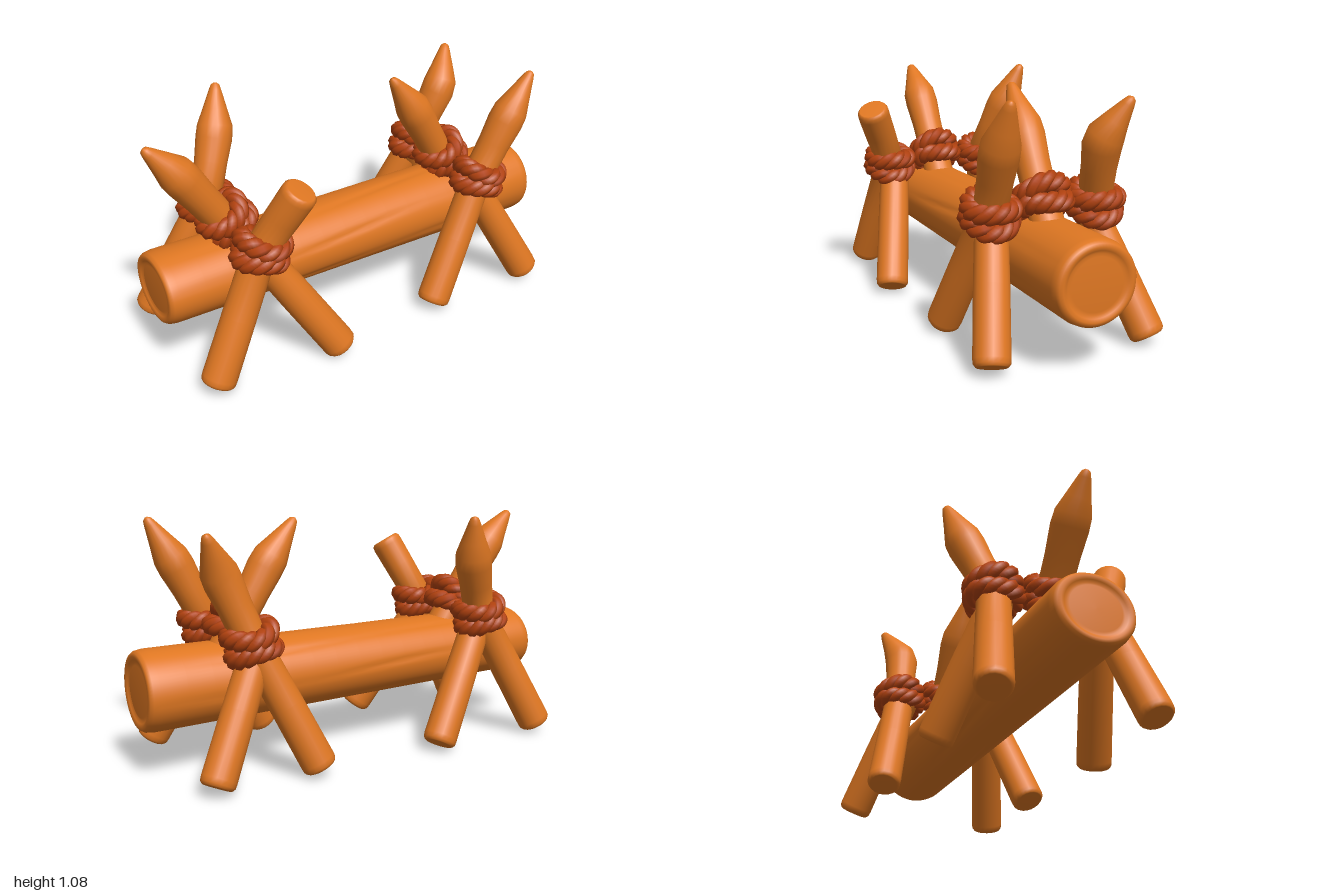
import * as THREE from 'three';
import { mergeVertices } from 'three/addons/utils/BufferGeometryUtils.js';

const V = (a) => new THREE.Vector3(...a);

// Round bar through stations [x, y, z, radius], closed at both ends
function sweep(stations, sides = 20) {
  const pts = stations.map((s) => V(s));
  const pos = [], idx = [], n = stations.length;
  stations.forEach((s, i) => {
    const t = pts[Math.min(i + 1, n - 1)].clone().sub(pts[Math.max(i - 1, 0)]).normalize();
    const u = new THREE.Vector3(0, 0, 1).cross(t).normalize();
    const v = t.clone().cross(u);
    for (let j = 0; j < sides; j++) {
      const a = (j / sides) * Math.PI * 2;
      const p = pts[i].clone().addScaledVector(u, Math.cos(a) * s[3]).addScaledVector(v, Math.sin(a) * s[3]);
      pos.push(p.x, p.y, p.z);
    }
  });
  for (let i = 0; i < n - 1; i++) {
    for (let j = 0; j < sides; j++) {
      const k = (j + 1) % sides;
      const a = i * sides + j, b = i * sides + k;
      idx.push(a, b, b + sides, a, b + sides, a + sides);
    }
  }
  const c0 = n * sides, c1 = c0 + 1;
  pos.push(...pts[0].toArray(), ...pts[n - 1].toArray());
  for (let j = 0; j < sides; j++) {
    const k = (j + 1) % sides;
    idx.push(c0, k, j, c1, (n - 1) * sides + j, (n - 1) * sides + k);
  }
  const g = new THREE.BufferGeometry();
  g.setAttribute('position', new THREE.Float32BufferAttribute(pos, 3));
  g.setIndex(idx);
  g.computeVertexNormals();
  return g;
}

const mix = (a, b, t) => a.map((x, i) => x + (b[i] - x) * t);
const towards = (a, b, d) => mix(a, b, d / V(a).distanceTo(V(b)));

// Sawn end with a small rounded edge, listed from the cap inwards
const sawn = (end, next, r) => [
  [...end, r * 0.8], [...towards(end, next, 0.003), r * 0.87],
  [...towards(end, next, 0.014), r * 0.98], [...towards(end, next, 0.035), r],
];

// Stake: foot, waist inside the lashing, shoulder, and either a whittled tip or a blunt end
function stakeGeometry({ foot, waist, shoulder, tip }) {
  const low = sawn(foot, waist, 0.077);
  const body = [[...mix(foot, waist, 0.5), 0.075], [...waist, 0.072], [...mix(waist, shoulder, 0.55), 0.075]];
  if (!tip) return sweep([...low, ...body, ...sawn(shoulder, waist, 0.077).reverse()]);
  return sweep([
    ...low, ...body,
    [...mix(waist, shoulder, 0.9), 0.083],
    [...mix(shoulder, tip, 0.12), 0.08],
    [...mix(shoulder, tip, 0.45), 0.056],
    [...mix(shoulder, tip, 0.85), 0.028],
    [...mix(shoulder, tip, 0.96), 0.019],
    [...tip, 0.006],
  ]);
}

// One strand of a twisted rope running around a tilted loop
class Strand extends THREE.Curve {
  constructor(centre, axis, radius, lift, phase) {
    super();
    Object.assign(this, { centre, axis, radius, lift, phase });
    this.u = new THREE.Vector3(0, 0, 1).cross(axis).normalize();
    this.v = axis.clone().cross(this.u);
  }
  getPoint(t, target = new THREE.Vector3()) {
    const a = t * Math.PI * 2, w = a * 4 + this.phase;
    const r = this.radius + Math.cos(w) * 0.02;
    const h = this.lift + Math.sin(a * 2 + this.lift * 40) * 0.01 + Math.sin(w) * 0.022;
    return target.copy(this.centre)
      .addScaledVector(this.u, Math.cos(a) * r)
      .addScaledVector(this.v, Math.sin(a) * r)
      .addScaledVector(this.axis, h);
  }
}

// Log along x with a raised rim at each end and shallow grain grooves
function logGeometry() {
  const end = [[0, 0.988], [0.115, 0.988], [0.128, 0.984], [0.14, 0.992], [0.155, 0.998], [0.17, 0.994], [0.18, 0.98], [0.185, 0.95]];
  const profile = end.map(([r, x]) => new THREE.Vector2(r, -x));
  for (let i = 1; i < 16; i++) profile.push(new THREE.Vector2(0.185, -0.95 + (1.9 * i) / 16));
  end.slice().reverse().forEach(([r, x]) => profile.push(new THREE.Vector2(r, x)));
  let g = new THREE.LatheGeometry(profile, 72, Math.PI / 2);
  g.rotateZ(-Math.PI / 2);
  g.deleteAttribute('uv');
  g.deleteAttribute('normal');
  g = mergeVertices(g, 1e-5);
  const p = g.attributes.position;
  for (let i = 0; i < p.count; i++) {
    const x = p.getX(i), y = p.getY(i), z = p.getZ(i);
    const a = Math.atan2(z, y), r = Math.hypot(y, z);
    const fade = r > 0.18 ? Math.max(0, 1 - x * x) : 0;
    const groove = Math.pow(Math.max(0, Math.sin(a * 7 + Math.sin(x * 3))), 6) * (0.6 + 0.4 * Math.sin(x * 7 + a * 2));
    const s = 1 - 0.035 * fade * groove;
    p.setXYZ(i, x, 0.389 - 0.007 * x + y * s * (0.91 + 0.06 * x), z * s);
  }
  g.computeVertexNormals();
  return g;
}

// Each trestle: three stakes standing above the log, and two short braces crossing the outer stakes
const trestles = [
  {
    name: 'rightTrestle',
    stakes: [
      { foot: [-0.88, 0.045, 0.315], waist: [-0.61, 0.6, 0.26], shoulder: [-0.485, 0.89, 0.39] },
      { foot: [-0.56, 0.48, 0], waist: [-0.635, 0.6, 0], shoulder: [-0.835, 0.89, 0], tip: [-0.975, 1.045, 0] },
      { foot: [-0.88, 0.045, -0.375], waist: [-0.61, 0.6, -0.25], shoulder: [-0.5, 0.88, -0.335], tip: [-0.448, 1.078, -0.405] },
    ],
    braces: [
      { from: [-0.29, 0.04, 0.375], to: [-0.635, 0.6, 0.225] },
      { from: [-0.3, 0.04, -0.375], to: [-0.635, 0.6, -0.225] },
    ],
  },
  {
    name: 'leftTrestle',
    stakes: [
      { foot: [0.26, 0.04, 0.335], waist: [0.57, 0.6, 0.255], shoulder: [0.71, 0.88, 0.28], tip: [0.825, 1.08, 0.29] },
      { foot: [0.61, 0.48, 0], waist: [0.545, 0.6, 0], shoulder: [0.375, 0.89, 0], tip: [0.24, 1.075, 0] },
      { foot: [0.32, 0.045, -0.38], waist: [0.57, 0.6, -0.235], shoulder: [0.685, 0.88, -0.195], tip: [0.775, 1.06, -0.275] },
    ],
    braces: [
      { from: [0.82, 0.045, 0.365], to: [0.52, 0.6, 0.225] },
      { from: [0.8, 0.045, -0.375], to: [0.52, 0.6, -0.215] },
    ],
  },
];

export function createModel() {
  const wood = new THREE.MeshStandardMaterial({ color: 0xdf7722 });
  wood.name = 'wood';
  const rope = new THREE.MeshStandardMaterial({ color: 0xb2420f });
  rope.name = 'rope';

  const model = new THREE.Group();
  model.name = 'logBarrier';
  const add = (parent, name, geometry, material) => {
    const mesh = new THREE.Mesh(geometry, material);
    mesh.name = name;
    parent.add(mesh);
  };

  add(model, 'log', logGeometry(), wood);

  const places = ['front', 'middle', 'back'];
  for (const { name, stakes, braces } of trestles) {
    const trestle = new THREE.Group();
    trestle.name = name;
    model.add(trestle);

    stakes.forEach((stake, i) => {
      add(trestle, places[i] + 'Stake', stakeGeometry(stake), wood);

      // Lashing: two coils of three-strand rope, tilted with the stake
      const lashing = new THREE.Group();
      lashing.name = places[i] + 'Lashing';
      trestle.add(lashing);
      const middle = i === 1;
      const axis = V(stake.shoulder).sub(V(stake.waist)).normalize();
      if (!middle) axis.setZ(0).lerp(new THREE.Vector3(0, 1, 0), 0.4).normalize();
      const centre = V(stake.waist);
      centre.y += middle ? 0.025 : -0.005;
      for (const lift of [-0.035, 0.035]) {
        for (let s = 0; s < 3; s++) {
          const curve = new Strand(centre, axis, 0.088, lift, (s * Math.PI * 2) / 3 + lift * 20);
          add(lashing, 'ropeStrand', new THREE.TubeGeometry(curve, 80, 0.025, 7, true), rope);
        }
      }
    });

    // Crossing braces that end inside the lashings
    braces.forEach(({ from, to }, i) => {
      const geometry = sweep([
        ...sawn(from, to, 0.077), [...mix(from, to, 0.5), 0.075], ...sawn(to, from, 0.07).reverse(),
      ]);
      add(trestle, (i ? 'back' : 'front') + 'Brace', geometry, wood);
    });
  }
  return model;
}
